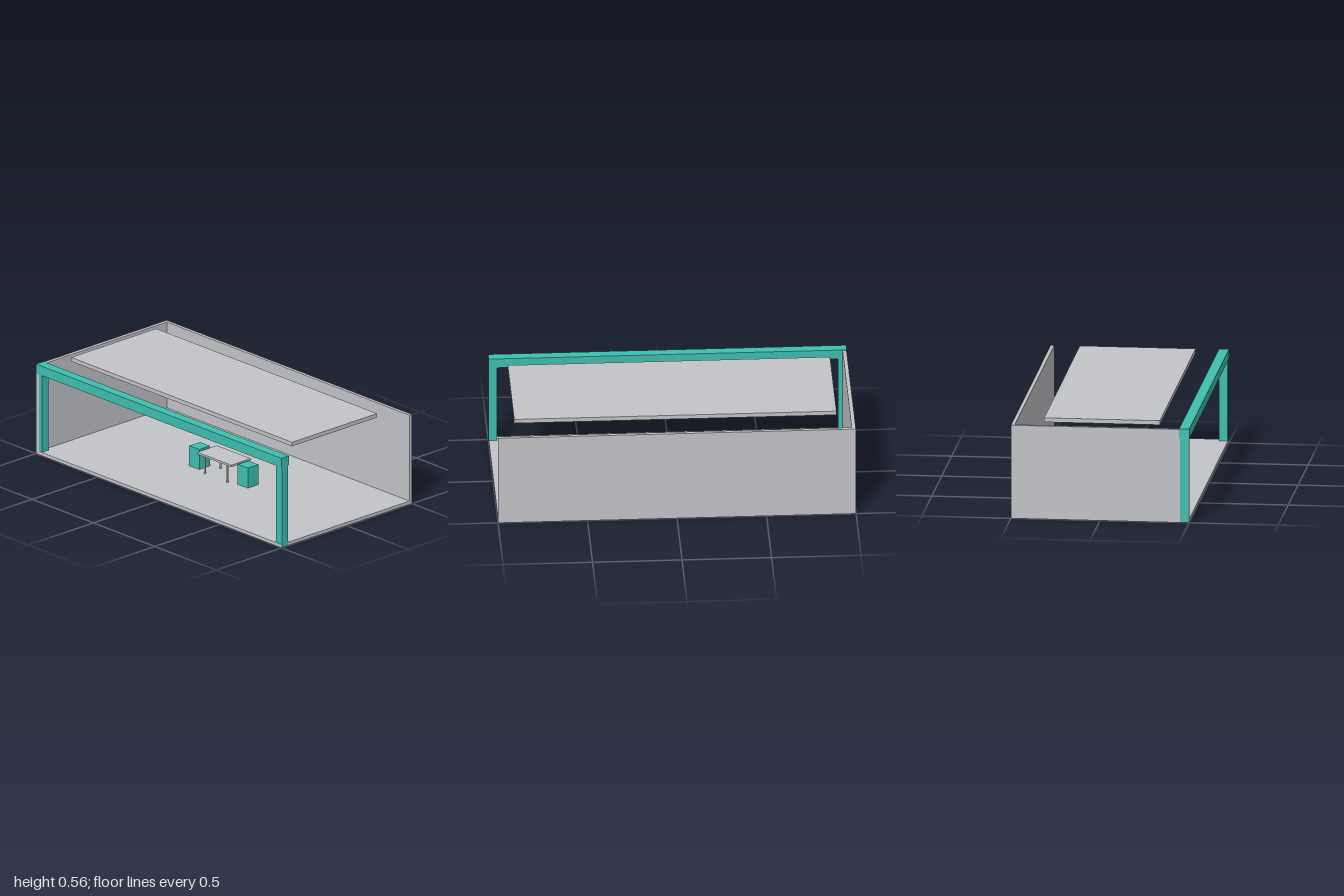
import * as THREE from 'three';

const grey = new THREE.MeshStandardMaterial({ color: 0xc3c4c8 });
grey.name = 'light grey';
const teal = new THREE.MeshStandardMaterial({ color: 0x3ebfb0 });
teal.name = 'teal';

// Box given by its extents on each axis
function box(name, material, [x0, x1], [y0, y1], [z0, z1]) {
  const mesh = new THREE.Mesh(new THREE.BoxGeometry(x1 - x0, y1 - y0, z1 - z0), material);
  mesh.position.set((x0 + x1) / 2, (y0 + y1) / 2, (z0 + z1) / 2);
  mesh.name = name;
  return mesh;
}

export function createModel() {
  const model = new THREE.Group();
  model.name = 'openPavilion';

  // Shell: floor, back wall, one side wall; the other side stays open
  model.add(
    box('floor', grey, [-0.999, 0.999], [0, 0.02], [-0.5, 0.5]),
    box('backWall', grey, [-0.999, 1], [0, 0.533], [-0.5, -0.48]),
    box('sideWall', grey, [-0.999, -0.977], [0, 0.533], [-0.5, 0.5]),
    box('roofPanel', grey, [-0.9, 0.9], [0.533, 0.557], [-0.325, 0.325]),
  );

  // Front frame: beam on two posts
  model.add(box('frontBeam', teal, [-1, 1], [0.48, 0.536], [0.444, 0.501]));
  for (const [x0, x1] of [[-1, -0.952], [0.952, 1]]) {
    model.add(box('frontPost', teal, [x0, x1], [0.001, 0.48], [0.449, 0.498]));
  }

  // Table with four round legs
  const table = new THREE.Group();
  table.name = 'table';
  table.add(box('tableTop', grey, [-0.138, 0.138], [0.127, 0.139], [-0.075, 0.075]));
  const legGeometry = new THREE.CylinderGeometry(0.0055, 0.0055, 0.107, 16);
  for (const x of [-0.092, 0.092]) {
    for (const z of [-0.06, 0.06]) {
      const leg = new THREE.Mesh(legGeometry, grey);
      leg.position.set(x, 0.0735, z);
      leg.name = 'tableLeg';
      table.add(leg);
    }
  }
  model.add(table);

  // Block seats at both ends of the table
  for (const x of [-0.199, 0.196]) {
    model.add(box('seat', teal, [x - 0.041, x + 0.041], [0.02, 0.14], [-0.041, 0.041]));
  }
  return model;
}
